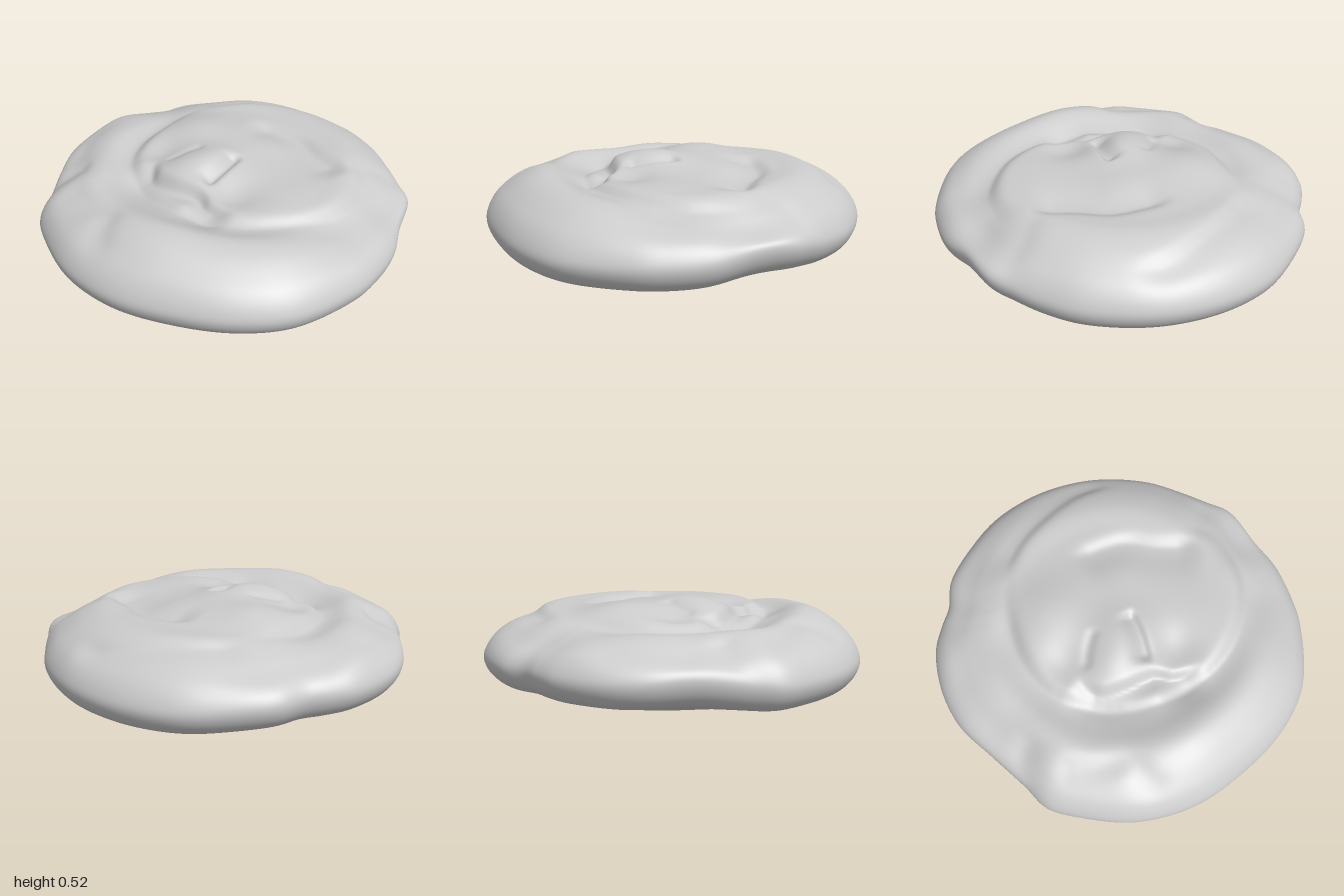
import * as THREE from 'three';

const V3 = (x, y, z) => new THREE.Vector3(x, y, z);
const bell = (d, w) => Math.exp(-(d * d) / (w * w));

// Outer edge seen from above: [angle in degrees from +x towards +z, radius]
const OUTLINE = [
  [0, 1], [20, 1.02], [36, 1], [54, 0.975], [72, 0.985], [90, 0.99], [107, 0.985], [117, 0.99],
  [126, 0.945], [140, 0.935], [154, 0.977], [167, 0.997], [180, 1], [188, 0.977], [195, 0.96],
  [204, 1], [218, 1.007], [230, 1.02], [244, 1.015], [258, 1.005], [270, 0.995], [285, 0.983],
  [297, 0.968], [306, 0.969], [314, 0.985], [328, 0.953], [339, 0.978], [351, 0.99],
];
const outline = new THREE.CatmullRomCurve3(
  OUTLINE.map(([a, r]) => V3(r * Math.cos(a * Math.PI / 180), 0, r * Math.sin(a * Math.PI / 180))), true);

// Cross-section from the top centre over the rim to the bottom centre: [radius share, height]
const section = new THREE.CatmullRomCurve3([
  [0, 0.455], [0.2, 0.455], [0.4, 0.45], [0.55, 0.45], [0.68, 0.455], [0.78, 0.425], [0.87, 0.375],
  [0.94, 0.32], [0.985, 0.255], [1, 0.2], [0.98, 0.14], [0.93, 0.09], [0.85, 0.067], [0.75, 0.058],
  [0.6, 0.036], [0.35, 0.01], [0, 0.002],
].map(([r, y]) => V3(r, y, 0)), false, 'centripetal');

// Fold lines in the dough: depth, width on the left of the path, width on its right, [x, z] path
const FOLDS = [
  // edge of the inner coil
  [0.045, 0.05, 0.13, [[-0.56, -0.42], [-0.6, -0.25], [-0.59, -0.05], [-0.52, 0.18], [-0.4, 0.34], [-0.2, 0.44],
    [0, 0.47], [0.25, 0.42], [0.5, 0.27], [0.65, 0.05], [0.7, -0.2], [0.64, -0.4], [0.52, -0.58]]],
  // outer coil tucked in at the back
  [0.025, 0.1, 0.04, [[-0.62, -0.3], [-0.53, -0.5], [-0.4, -0.65], [-0.17, -0.83], [0.05, -0.9]]],
  // second turn behind the centre
  [0.035, 0.05, 0.14, [[-0.25, -0.36], [-0.05, -0.44], [0.08, -0.465], [0.25, -0.43], [0.5, -0.42]]],
  // front lip of the centre knob
  [0.055, 0.1, 0.03, [[0.42, 0.27], [0.25, 0.32], [0.16, 0.3], [0, 0.355], [-0.13, 0.37], [-0.27, 0.28]]],
  // pinch creases on the knob
  [0.035, 0.025, 0.06, [[0.04, -0.07], [0.09, 0.05], [0.13, 0.24]]],
  [0.012, 0.03, 0.03, [[-0.13, 0.02], [-0.17, 0.12], [-0.2, 0.25]]],
  // overlaps on the outer ring
  [0.02, 0.06, 0.09, [[-0.45, 0.72], [-0.2, 0.74], [0, 0.72], [0.08, 0.82], [0.22, 0.86]]],
  [0.015, 0.07, 0.1, [[0.46, -0.45], [0.52, -0.62], [0.62, -0.76], [0.7, -0.85]]],
  [0.02, 0.07, 0.07, [[-0.6, 0.82], [-0.56, 0.68], [-0.48, 0.52]]],
].map(([depth, a, b, path]) => ({
  depth, a, b, points: new THREE.CatmullRomCurve3(path.map(([x, z]) => V3(x, 0, z))).getSpacedPoints(40),
}));

// Broad swells and hollows on top: [x, z, radius, height]
const SWELLS = [
  // inner coil and centre knob
  [-0.35, -0.1, 0.2, 0.047], [0, 0.07, 0.18, 0.06], [-0.06, 0.24, 0.13, 0.025], [-0.05, -0.28, 0.2, 0.025],
  [0.5, -0.05, 0.2, 0.01], [0.28, 0.16, 0.12, -0.03], [-0.3, 0.2, 0.12, -0.025],
  // left side of the outer ring
  [-0.72, 0, 0.22, -0.035], [-0.94, 0.08, 0.14, 0.03], [-0.62, 0.48, 0.24, -0.03], [-0.72, -0.36, 0.22, -0.03],
  // front and right side of the outer ring
  [-0.15, 0.59, 0.22, -0.03], [0.32, 0.64, 0.2, 0.015], [0.78, -0.1, 0.2, -0.03], [0.74, -0.52, 0.22, -0.045],
];

function foldHeight({ depth, a, b, points }, x, z) {
  const n = points.length - 1;
  let best = Infinity, along = 0, side = 0;
  for (let i = 0; i < n; i++) {
    const p = points[i], dx = points[i + 1].x - p.x, dz = points[i + 1].z - p.z;
    const t = THREE.MathUtils.clamp(((x - p.x) * dx + (z - p.z) * dz) / (dx * dx + dz * dz), 0, 1);
    const d = Math.hypot(x - p.x - t * dx, z - p.z - t * dz);
    if (d < best) {
      best = d;
      along = (i + t) / n;
      side = dx * (z - p.z) - dz * (x - p.x);
    }
  }
  const taper = THREE.MathUtils.smoothstep(Math.min(along, 1 - along), 0, 0.2);
  return -depth * taper * bell(best, side < 0 ? a : b);
}

function topRelief(x, z) {
  let y = 0;
  for (const f of FOLDS) y += foldHeight(f, x, z);
  for (const [cx, cz, w, h] of SWELLS) y += h * bell(Math.hypot(x - cx, z - cz), w);
  return y;
}

// Raised underside of the rim where the dough lifts off the table: [x, z, radius, height]
const LIFTS = [[-0.95, 0.1, 0.42, 0.035], [-0.75, 0.6, 0.25, 0.045], [0.78, -0.66, 0.28, 0.055], [-0.85, -0.4, 0.3, 0.02]];
const rimLift = (x, z) => LIFTS.reduce((y, [cx, cz, w, h]) => y + h * bell(Math.hypot(x - cx, z - cz), w), 0);

function doughGeometry(rows = 170, cols = 200) {
  const edge = outline.getPoints(cols).slice(0, cols);
  const profile = section.getSpacedPoints(rows);
  const positions = [], index = [];
  profile.forEach((s, i) => {
    const upper = THREE.MathUtils.smoothstep(s.y, 0.2, 0.4);
    const lower = THREE.MathUtils.smoothstep(s.x, 0.58, 0.88) * (1 - upper);
    for (let j = 0; j < cols; j++) {
      // the outline irregularity fades towards the middle
      const e = edge[j], r = e.length();
      const k = s.x * THREE.MathUtils.lerp(1, r, s.x) / r;
      const x = e.x * k, z = e.z * k;
      const y = s.y + (upper > 0 ? upper * topRelief(x, z) : 0) + lower * rimLift(x, z);
      positions.push(x, Math.max(y, 0), z);
      if (i < rows) {
        const p = i * cols + j, q = i * cols + (j + 1) % cols;
        index.push(p, q, p + cols, q, q + cols, p + cols);
      }
    }
  });
  const geometry = new THREE.BufferGeometry();
  geometry.setAttribute('position', new THREE.Float32BufferAttribute(positions, 3));
  geometry.setIndex(index);
  geometry.computeVertexNormals();
  return geometry;
}

export function createModel() {
  const group = new THREE.Group();
  group.name = 'coiledBun';
  const dough = new THREE.Mesh(doughGeometry(), new THREE.MeshStandardMaterial({ color: 0xcccccc }));
  dough.name = 'dough';
  group.add(dough);
  return group;
}
